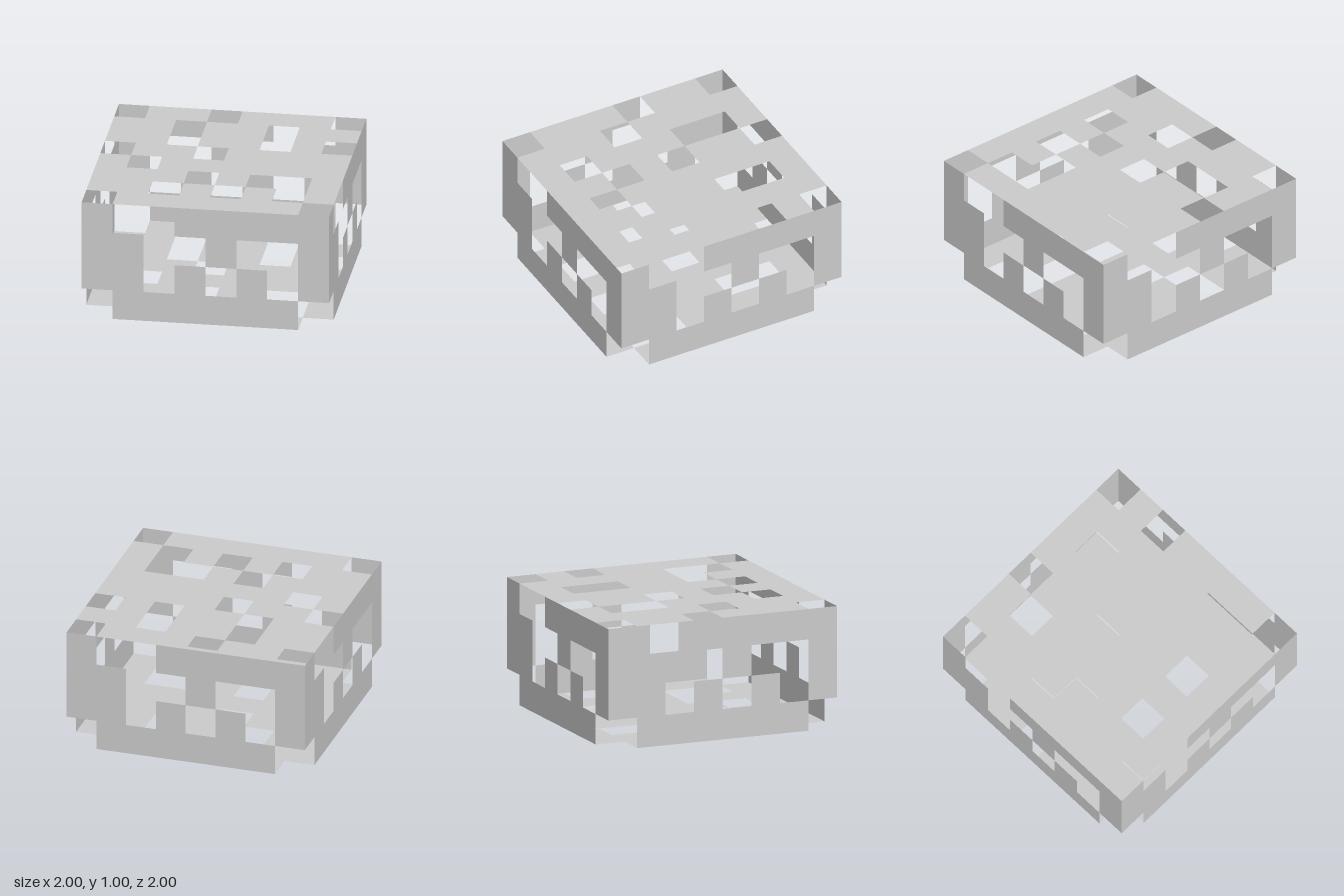
import * as THREE from 'three';
import { mergeGeometries } from 'three/addons/utils/BufferGeometryUtils.js';

const CELL = 0.25;

// '#' is solid, '.' is open; rows run from top to bottom
const WALL = [
  '#..#####',
  '##..#..#',
  '##.#.#.#',
  '.######.',
];

// Rows run from back to front
const DECK = [
  '.##.###.',
  '##.##.##',
  '##.##.#.',
  '.##.####',
  '#.######',
  '###.#..#',
  '##.#.#.#',
  '.######.',
];

// Flat sheet centred on the origin, one rectangle per unbroken run of cells
function sheetGeometry(mask) {
  const strips = [];
  mask.forEach((row, r) => {
    for (const run of row.matchAll(/#+/g)) {
      const n = run[0].length;
      const strip = new THREE.PlaneGeometry(n * CELL, CELL);
      strip.translate(
        (run.index + n / 2 - row.length / 2) * CELL,
        (mask.length / 2 - r - 0.5) * CELL,
        0,
      );
      strips.push(strip);
    }
  });
  return mergeGeometries(strips);
}

export function createModel() {
  const group = new THREE.Group();
  const material = new THREE.MeshStandardMaterial({ color: 0xcccccc, side: THREE.DoubleSide });

  // Four identical pierced walls, each a quarter turn from the last
  const wall = sheetGeometry(WALL).translate(0, 0.5, 1);
  ['frontWall', 'leftWall', 'backWall', 'rightWall'].forEach((name, i) => {
    const mesh = new THREE.Mesh(wall, material);
    mesh.name = name;
    mesh.rotation.y = i * Math.PI / 2;
    group.add(mesh);
  });

  // Matching pierced top and floor
  const deck = sheetGeometry(DECK).rotateX(-Math.PI / 2);
  [['topPanel', 1], ['floorPanel', 0]].forEach(([name, y]) => {
    const mesh = new THREE.Mesh(deck, material);
    mesh.name = name;
    mesh.position.y = y;
    group.add(mesh);
  });

  return group;
}
